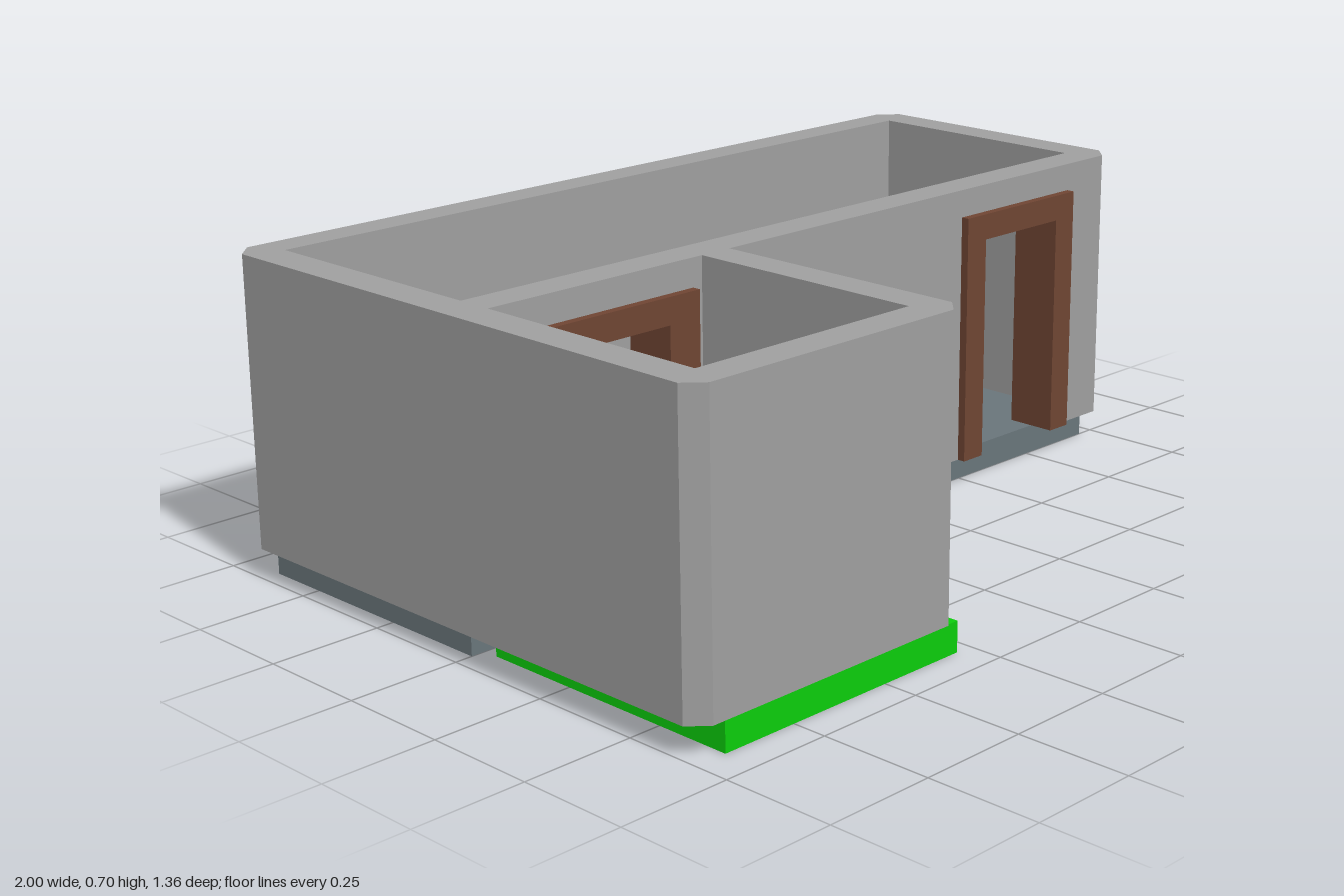
import * as THREE from 'three';

const mat = (name, color) => Object.assign(new THREE.MeshStandardMaterial({ color }), { name });

export function createModel() {
  const stone = mat('grey stone', 0x9f9f9f);
  const slate = mat('slate floor', 0x69757a);
  const green = mat('green floor', 0x0ccc0c);
  const wood = mat('brown wood', 0x6f4533);
  const iron = mat('dark iron', 0x454b4e);

  const model = new THREE.Group();
  model.name = 'twoRoomBuilding';
  const FLOOR = 0.067, TOP = 0.705;

  const poly = (pts) => new THREE.Shape(pts.map(([x, y]) => new THREE.Vector2(x, y)));
  const extrude = (shape, depth) => new THREE.ExtrudeGeometry(shape, { depth, bevelEnabled: false });
  const add = (name, geometry, material, parent = model) => {
    const mesh = new THREE.Mesh(geometry, material);
    mesh.name = name;
    parent.add(mesh);
    return mesh;
  };
  // Box given by its minimum and maximum corners
  const box = (name, [x0, y0, z0], [x1, y1, z1], material, parent) => {
    const g = new THREE.BoxGeometry(x1 - x0, y1 - y0, z1 - z0);
    g.translate((x0 + x1) / 2, (y0 + y1) / 2, (z0 + z1) / 2);
    return add(name, g, material, parent);
  };

  // Floor slabs
  box('mainFloor', [-0.96, 0, -0.64], [0.957, FLOOR, 0], slate);
  box('sideRoomFloor', [-0.927, 0, 0.035], [-0.29, FLOOR, 0.673], green);

  // Outer walls with chamfered corners, as one plan of (x, z) points
  const plan = [
    [0.92, 0.04], [0.96, 0.04], [1, 0], [1, -0.64], [0.96, -0.68], [-0.96, -0.68],
    [-1, -0.64], [-1, 0.64], [-0.96, 0.677], [-0.322, 0.677], [-0.284, 0.64], [-0.284, 0.04],
    [-0.362, 0.04], [-0.362, 0.6], [-0.92, 0.6], [-0.92, -0.605], [0.92, -0.605],
  ];
  const walls = extrude(poly(plan.map(([x, z]) => [x, -z])), TOP - FLOOR);
  walls.rotateX(-Math.PI / 2).translate(0, FLOOR, 0);
  add('outerWalls', walls, stone);

  // Doors: outer frame edges and post width
  const doors = [
    { name: 'frontDoorFrame', x0: 0.45, x1: 0.83, post: 0.063 },
    { name: 'innerDoorFrame', x0: -0.9, x1: -0.387, post: 0.083 },
  ];
  const LINTEL = 0.583, FRAME_TOP = 0.642;

  // Front and dividing wall, notched for both doorways
  const outline = [[0.92, FLOOR], [0.92, TOP], [-0.92, TOP], [-0.92, FLOOR]];
  for (const d of [...doors].reverse()) {
    const a = d.x0 + d.post - 0.01, b = d.x1 - d.post + 0.01, h = LINTEL + 0.01;
    outline.push([a, FLOOR], [a, h], [b, h], [b, FLOOR]);
  }
  add('dividingWall', extrude(poly(outline), 0.08), stone).position.z = -0.04;

  // Wooden frames that line the doorways
  for (const { name, x0, x1, post } of doors) {
    const frame = poly([
      [x0, FLOOR], [x0 + post, FLOOR], [x0 + post, LINTEL], [x1 - post, LINTEL],
      [x1 - post, FLOOR], [x1, FLOOR], [x1, FRAME_TOP], [x0, FRAME_TOP],
    ]);
    add(name, extrude(frame, 0.12), wood).position.z = -0.061;
  }

  // Crates: recessed core, with a border and a diagonal brace on every face
  const crate = (name, [x, z], [w, h, d]) => {
    const group = new THREE.Group();
    group.name = name;
    add('crateCore', new THREE.BoxGeometry(0.88, 0.88, 0.88), wood, group);
    const border = poly([[-0.5, -0.5], [0.5, -0.5], [0.5, 0.5], [-0.5, 0.5]]);
    border.holes.push(poly([[-0.33, -0.33], [-0.33, 0.33], [0.33, 0.33], [0.33, -0.33]]));
    const brace = poly([[-0.33, -0.33], [-0.2, -0.33], [0.33, 0.2], [0.33, 0.33], [0.2, 0.33], [-0.33, -0.2]]);
    const turns = [[0, 0], [0, 1], [0, 2], [0, 3], [-1, 0], [1, 0]];
    for (const [rx, ry] of turns) {
      const face = new THREE.Group();
      face.name = 'crateFace';
      face.rotation.set(rx * Math.PI / 2, ry * Math.PI / 2, 0);
      add('crateBorder', extrude(border, 0.1), wood, face).position.z = 0.4;
      add('crateBrace', extrude(brace, 0.06), wood, face).position.z = 0.41;
      group.add(face);
    }
    group.scale.set(w, h, d);
    group.position.set(x, FLOOR + h / 2, z);
    model.add(group);
  };
  crate('smallCrate', [-0.802, -0.485], [0.193, 0.19, 0.19]);
  crate('longCrate', [-0.003, -0.135], [0.385, 0.19, 0.185]);

  // Wall rack: a back plate and a rail held by two pairs of brackets
  const rack = new THREE.Group();
  rack.name = 'wallRack';
  box('rackPlate', [-0.38, 0.39, -0.055], [-0.22, 0.43, -0.04], wood, rack);
  box('rackRail', [-0.38, 0.41, -0.125], [-0.22, 0.43, -0.108], wood, rack);
  for (const x of [-0.355, -0.34, -0.26, -0.242]) {
    box('rackBracket', [x - 0.005, 0.405, -0.115], [x + 0.005, 0.42, -0.05], iron, rack);
  }
  model.add(rack);

  return model;
}
